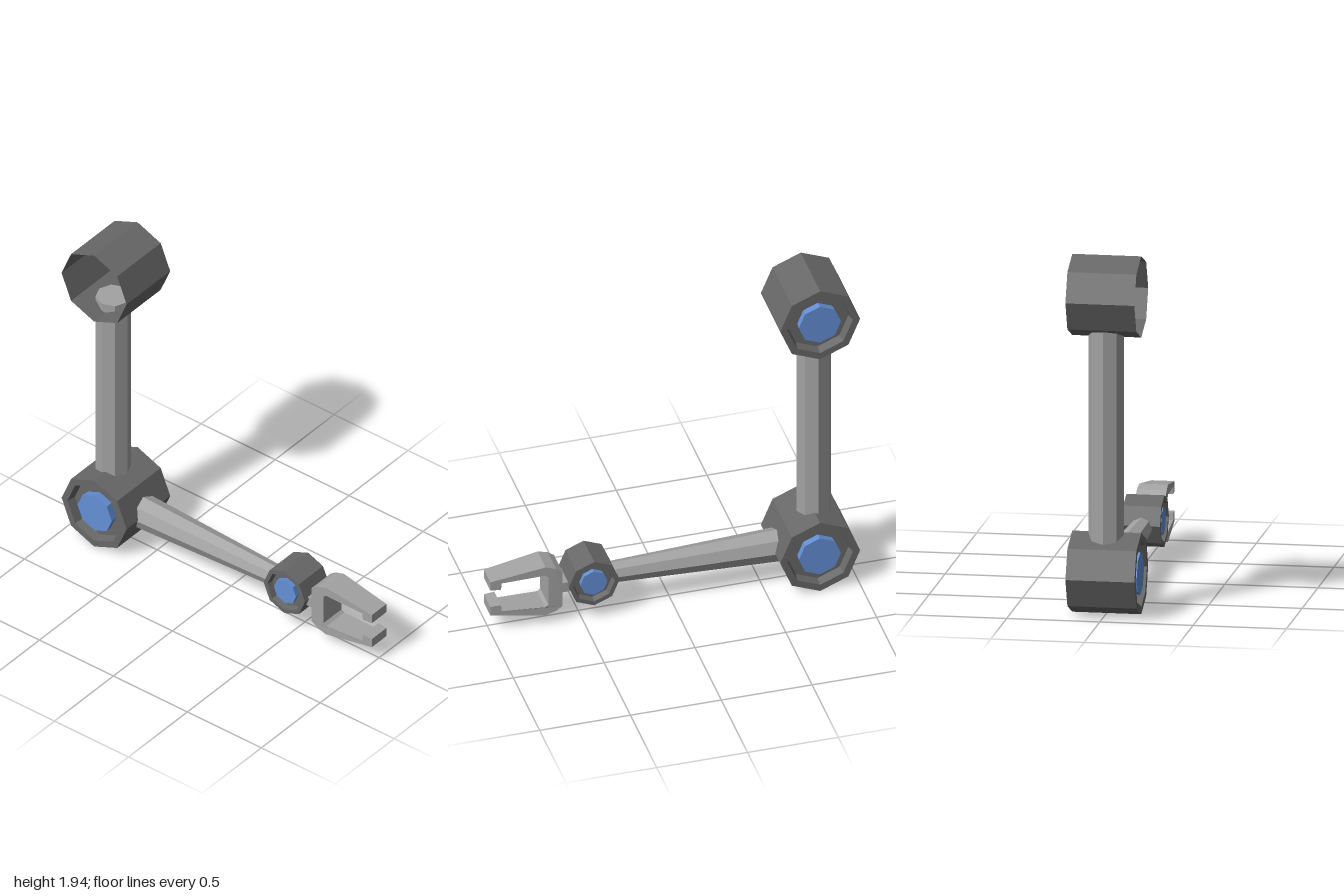
import * as THREE from 'three';

const material = (name, color) => new THREE.MeshStandardMaterial({ name, color, flatShading: true, side: THREE.DoubleSide });

export function createModel() {
  const dark = material('dark grey', 0x686868);
  const steel = material('light grey', 0xa3a3a3);
  const blue = material('blue', 0x6490d6);
  const model = new THREE.Group();
  model.name = 'roboticArm';

  const add = (parent, name, geometry, mat) => {
    const mesh = new THREE.Mesh(geometry, mat);
    mesh.name = name;
    parent.add(mesh);
    return mesh;
  };

  // Eight-sided profile turned around the z axis
  const turned = (points) =>
    new THREE.LatheGeometry(points.map(([r, z]) => new THREE.Vector2(r, z)), 8).rotateX(Math.PI / 2);

  // Hub with recessed faces and raised caps; an open hub has no front face
  function joint(name, x, y, r, half, rim, floorR, cap, recess, open = false) {
    const group = new THREE.Group();
    group.name = name;
    group.position.set(x, y, 0);
    const f = half - recess;
    const back = [[cap * 0.96, -f], [floorR, -f], [rim, -half], [r, -half], [r, half]];
    const front = [[rim, half], [floorR, f], [cap * 0.96, f]];
    add(group, name + 'Housing', turned(open ? back : [...back, ...front]), dark);
    const capGeometry = () => turned([[cap * 0.96, f], [cap, half - 0.005], [0, half - 0.005]]);
    add(group, name + 'BackCap', capGeometry().rotateY(Math.PI), blue);
    if (!open) add(group, name + 'FrontCap', capGeometry(), blue);
    model.add(group);
  }
  joint('shoulderJoint', -0.78, 1.725, 0.22, 0.185, 0.18, 0.17, 0.116, 0.05, true);
  joint('elbowJoint', -0.78, 0.225, 0.22, 0.185, 0.18, 0.17, 0.116, 0.05);
  joint('wristJoint', 0.44, 0.235, 0.14, 0.102, 0.115, 0.108, 0.075, 0.035);

  // Upright upper arm
  const upper = add(model, 'upperArm', new THREE.CylinderGeometry(0.095, 0.095, 1.21, 8), steel);
  upper.position.set(-0.798, 0.955, 0);

  // Tapered forearm lying along x
  const fore = add(model, 'forearm', new THREE.CylinderGeometry(0.058, 0.095, 0.99, 8).rotateZ(-Math.PI / 2), steel);
  fore.position.set(-0.155, 0.219, 0);

  // Gripper: one jaw outline mirrored about its centre line, narrowing to the tips
  const cy = 0.219;
  const jaw = [[0.608, 0.111], [0.643, 0.136], [0.7, 0.155], [1, 0.107], [1, 0.053],
    [0.942, 0.05], [0.938, 0.09], [0.703, 0.102], [0.685, 0.088]];
  const outline = [...jaw, ...jaw.map(([x, y]) => [x, -y]).reverse()];
  const shape = new THREE.Shape(outline.map(([x, y]) => new THREE.Vector2(x, y + cy)));
  const claw = new THREE.ExtrudeGeometry(shape, { depth: 2, bevelEnabled: false }).translate(0, 0, -1);
  const p = claw.attributes.position;
  for (let i = 0; i < p.count; i++) {
    const t = Math.max(0, (p.getX(i) - 0.643) / 0.357);
    p.setZ(i, p.getZ(i) * (0.08 - 0.018 * t));
  }
  claw.computeVertexNormals();
  add(model, 'gripper', claw, steel);

  const stem = add(model, 'gripperStem', new THREE.BoxGeometry(0.07, 0.06, 0.14), steel);
  stem.position.set(0.58, cy, 0);

  return model;
}
